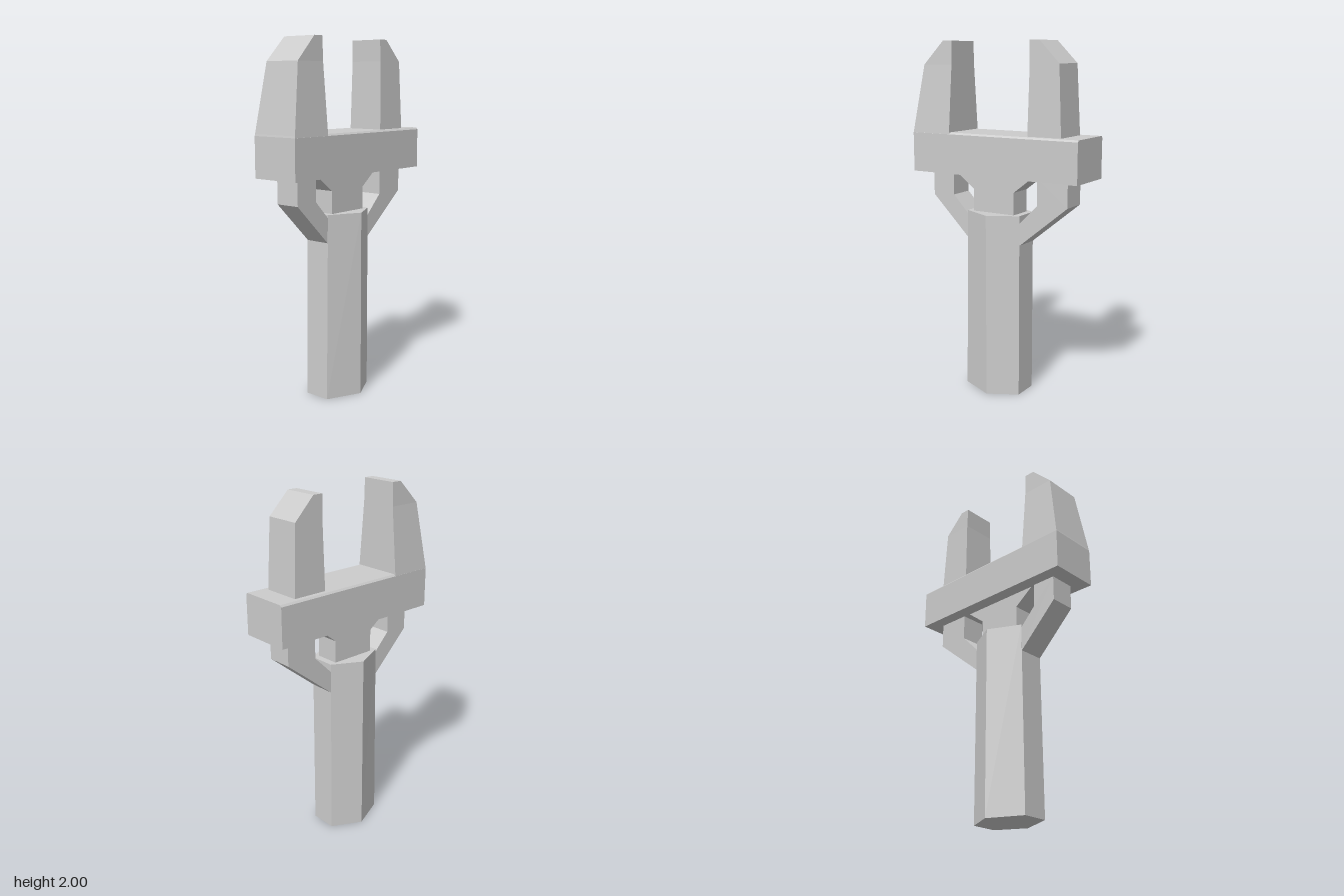
import * as THREE from 'three';

const material = new THREE.MeshStandardMaterial({ color: 0xcccccc, flatShading: true });

// Capped solid through stacked convex rings; ring = { y, pts: [[x, z], ...] }
function loft(name, rings) {
  const pos = [];
  const index = [];
  const n = rings[0].pts.length;
  for (const { y, pts } of rings) for (const [x, z] of pts) pos.push(x, y, z);
  for (let r = 0; r < rings.length - 1; r++) {
    for (let i = 0; i < n; i++) {
      const a = r * n + i, b = r * n + (i + 1) % n;
      index.push(a, b, b + n, a, b + n, a + n);
    }
  }
  const top = (rings.length - 1) * n;
  for (let i = 1; i < n - 1; i++) {
    index.push(0, i + 1, i);
    index.push(top, top + i, top + i + 1);
  }
  const indexed = new THREE.BufferGeometry();
  indexed.setAttribute('position', new THREE.Float32BufferAttribute(pos, 3));
  indexed.setIndex(index);
  const geometry = indexed.toNonIndexed();
  geometry.computeVertexNormals();
  const mesh = new THREE.Mesh(geometry, material);
  mesh.name = name;
  return mesh;
}

// Rectangular ring symmetric in z
const rect = (y, x0, x1, z) => ({ y, pts: [[x0, z], [x1, z], [x1, -z], [x0, -z]] });

// Six-sided ring for the grip
const hex = (y, x0, x1) => ({
  y,
  pts: [[x0, 0.075], [-0.025, 0.162], [x1, 0.075], [x1, -0.075], [-0.025, -0.162], [x0, -0.075]],
});

// Flat outline extruded along z, centred
function plate(name, points, depth) {
  const shape = new THREE.Shape(points.map(([x, y]) => new THREE.Vector2(x, y)));
  const geometry = new THREE.ExtrudeGeometry(shape, { depth, bevelEnabled: false });
  geometry.translate(0, 0, -depth / 2);
  const mesh = new THREE.Mesh(geometry, material);
  mesh.name = name;
  return mesh;
}

export function createModel() {
  const group = new THREE.Group();
  group.name = 'wrench';

  // Grip, slightly wider at the foot on one side
  group.add(loft('handle', [hex(0, -0.218, 0.14), hex(1.053, -0.205, 0.14)]));

  // Neck flaring out under the crossbar
  group.add(plate('neck', [
    [-0.165, 1.0], [0.1, 1.0], [0.1, 1.18], [0.215, 1.27], [-0.285, 1.27], [-0.165, 1.18],
  ], 0.14));

  // Bent struts from the grip to the crossbar
  group.add(plate('leftStrut', [
    [0.12, 0.87], [0.14, 0.885], [0.435, 1.125], [0.435, 1.27],
    [0.25, 1.27], [0.25, 1.12], [0.12, 0.99],
  ], 0.148));
  group.add(plate('rightStrut', [
    [-0.18, 0.87], [-0.18, 1.01], [-0.3, 1.135], [-0.3, 1.27],
    [-0.44, 1.27], [-0.44, 1.125], [-0.2, 0.89],
  ], 0.148));

  // Crossbar with a narrow chamfer along its top
  group.add(loft('crossbar', [
    rect(1.265, -0.53, 0.525, 0.145),
    rect(1.488, -0.53, 0.525, 0.145),
    rect(1.498, -0.528, 0.525, 0.136),
  ]));

  // Jaws
  group.add(loft('fixedJaw', [
    rect(1.485, -0.53, -0.28, 0.145),
    rect(1.87, -0.468, -0.28, 0.111),
    rect(2, -0.34, -0.28, 0.107),
  ]));
  group.add(loft('slidingJaw', [
    rect(1.485, 0.207, 0.41, 0.11),
    rect(1.88, 0.215, 0.39, 0.102),
    rect(2, 0.212, 0.27, 0.1),
  ]));

  return group;
}
